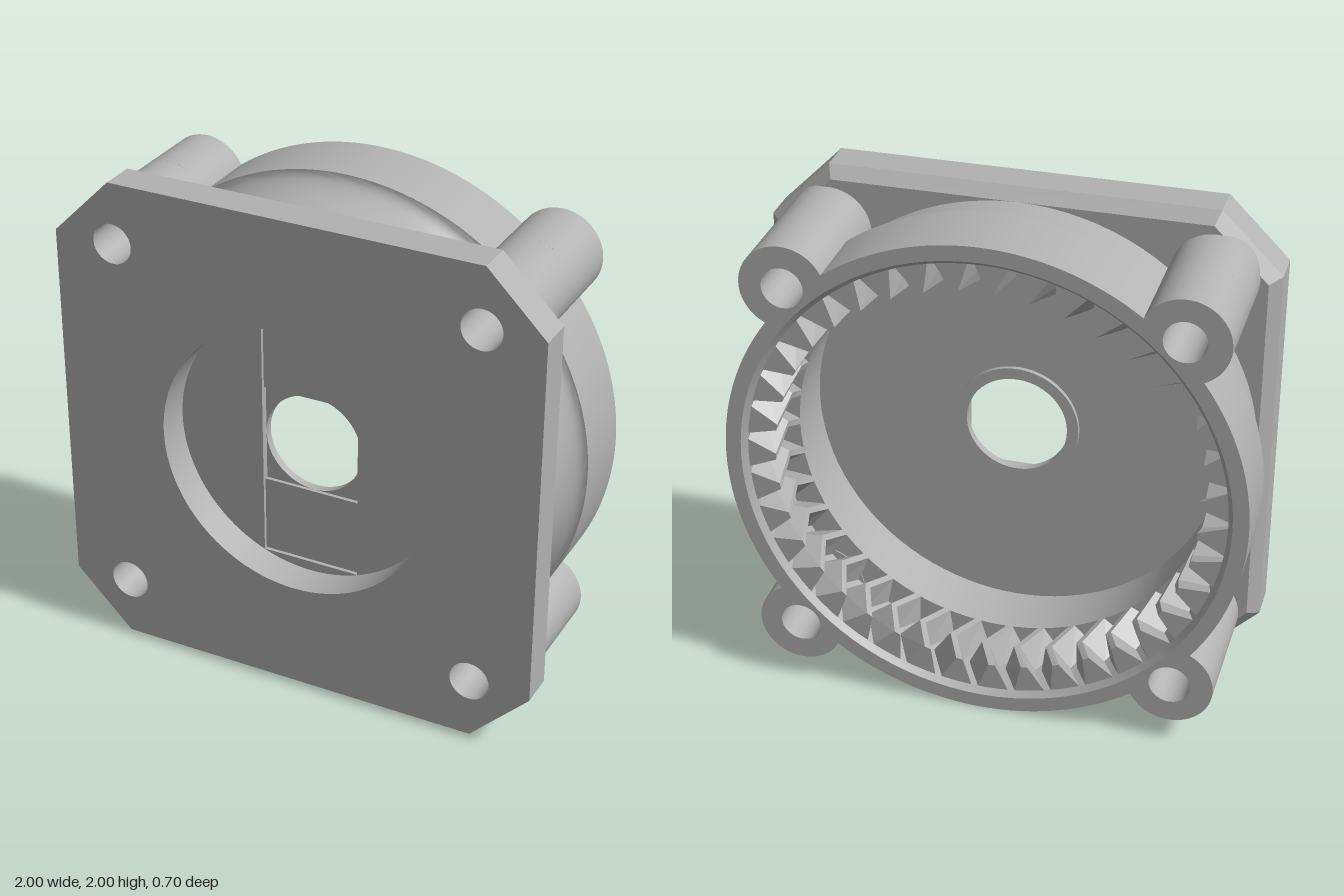
import * as THREE from 'three';
import { toCreasedNormals } from 'three/addons/utils/BufferGeometryUtils.js';

const BOSS = 0.737, BOSS_R = 0.166, SCREW_R = 0.08, TEETH = 39;
const corners = [[1, 1], [-1, 1], [-1, -1], [1, -1]].map(([a, b]) => [a * BOSS, b * BOSS]);

const circle = (x, y, r, kind = THREE.Path) => new kind().absarc(x, y, r, 0, Math.PI * 2, false);
const polygon = (pts, kind = THREE.Shape) => new kind(pts.map(([x, y]) => new THREE.Vector2(x, y)));
const rect = (w, h) => polygon([[-w, -h], [w, -h], [w, h], [-w, h]], THREE.Path);
const octagon = (a, b) => [[a, -b], [a, b], [b, a], [-b, a], [-a, b], [-a, -b], [-b, -a], [b, -a]];
const screwHoles = () => corners.map(([x, y]) => circle(x, y, SCREW_R));

// Extrude a shape with holes between two z positions
function slab(shape, holes, z0, z1) {
  shape.holes.push(...holes);
  const g = new THREE.ExtrudeGeometry(shape, { depth: z1 - z0, bevelEnabled: false, curveSegments: 48 });
  return toCreasedNormals(g.translate(0, 0, z0), 0.5);
}

// Turn an [radius, z] profile around the z axis
function turned(profile) {
  const g = new THREE.LatheGeometry(profile.map(([r, z]) => new THREE.Vector2(r, z)), 96);
  return toCreasedNormals(g.rotateX(Math.PI / 2), 0.5);
}

function fromTriangles(pos) {
  const g = new THREE.BufferGeometry();
  g.setAttribute('position', new THREE.Float32BufferAttribute(pos, 3));
  g.computeVertexNormals();
  return g;
}
const quad = (pos, a, b, c, d) => pos.push(...a, ...b, ...c, ...a, ...c, ...d);

// Round rim outline merged with the four screw bosses
function rimShape(R) {
  const D = Math.hypot(BOSS, BOSS);
  const alpha = Math.acos((D * D + R * R - BOSS_R * BOSS_R) / (2 * D * R));
  const beta = Math.atan2(R * Math.sin(alpha), R * Math.cos(alpha) - D);
  const s = new THREE.Shape();
  corners.forEach(([x, y], i) => {
    const t = Math.PI / 4 + i * Math.PI / 2;
    s.absarc(x, y, BOSS_R, t - beta, t + beta, false);
    s.absarc(0, 0, R, t + alpha, t + Math.PI / 2 - alpha, false);
  });
  return s;
}

// Internal herringbone teeth
function teethGeometry() {
  const pos = [], pitch = Math.PI * 2 / TEETH;
  const section = [[-0.42, 0.925], [-0.1, 0.81], [0.1, 0.81], [0.42, 0.925]];
  const levels = [[-0.325, 0], [-0.19, 0.5], [-0.055, 0]];
  for (let k = 0; k < TEETH; k++) {
    const rings = levels.map(([z, twist]) => section.map(([u, r]) => {
      const t = (k + u + twist) * pitch;
      return [r * Math.cos(t), r * Math.sin(t), z];
    }));
    quad(pos, ...rings[0]);
    for (let j = 0; j < 2; j++)
      for (let i = 0; i < 3; i++)
        quad(pos, rings[j][i], rings[j + 1][i], rings[j + 1][i + 1], rings[j][i + 1]);
  }
  return fromTriangles(pos);
}

// Sloped edge behind the mounting plate
function bevelGeometry() {
  const pos = [];
  const inner = octagon(0.935, 0.726).map(p => [...p, 0.165]);
  const outer = octagon(0.98, 0.745).map(p => [...p, 0.21]);
  inner.forEach((p, i) => {
    const n = (i + 1) % 8;
    quad(pos, p, inner[n], outer[n], outer[i]);
  });
  return fromTriangles(pos);
}

export function createModel() {
  const model = new THREE.Group();
  model.name = 'gearHousing';
  const body = new THREE.Group();
  body.name = 'housingBody';
  body.position.y = 1;
  model.add(body);

  const grey = new THREE.MeshStandardMaterial({ color: 0xb2b2b2 });
  grey.name = 'grey';
  const add = (name, geometry) => {
    const mesh = new THREE.Mesh(geometry, grey);
    mesh.name = name;
    body.add(mesh);
  };

  // Mounting plate with round front recess
  add('mountingPlate', slab(polygon(octagon(0.98, 0.745)), [circle(0, 0, 0.55), ...screwHoles()], 0.21, 0.35));
  add('plateBevel', bevelGeometry());

  // Stepped floor: slot, square, then round shaft hole
  add('slotLayer', slab(circle(0, 0, 0.7, THREE.Shape), [rect(0.2, 0.511)], 0.195, 0.21));
  add('squareLayer', slab(circle(0, 0, 0.7, THREE.Shape), [rect(0.2, 0.2)], 0.18, 0.195));
  add('cavityFloor', slab(polygon(octagon(0.935, 0.726)), [circle(0, 0, 0.2), ...screwHoles()], 0.165, 0.18));
  add('shaftCollar', slab(circle(0, 0, 0.245, THREE.Shape), [circle(0, 0, 0.2)], 0.147, 0.165));

  // Rear rim, waist and cavity lining
  add('rearRim', slab(rimShape(1), [circle(0, 0, 0.94), ...screwHoles()], -0.35, -0.065));
  const waist = [];
  for (let i = 0; i <= 12; i++) {
    const t = i / 12 * Math.PI / 2;
    waist.push([1 - 0.065 * Math.sin(t), -0.065 + 0.13 * (1 - Math.cos(t))]);
  }
  add('waist', turned([...waist, [0.935, 0.17]]));
  add('cavityWall', turned([[0.81, 0.165], [0.81, -0.06], [0.92, -0.06], [0.92, -0.325], [0.94, -0.35]]));
  add('ringGearTeeth', teethGeometry());

  // Screw bosses between rim and plate
  corners.forEach(([x, y]) =>
    add('screwBoss', slab(circle(x, y, BOSS_R, THREE.Shape), [circle(x, y, SCREW_R)], -0.065, 0.21)));

  return model;
}
